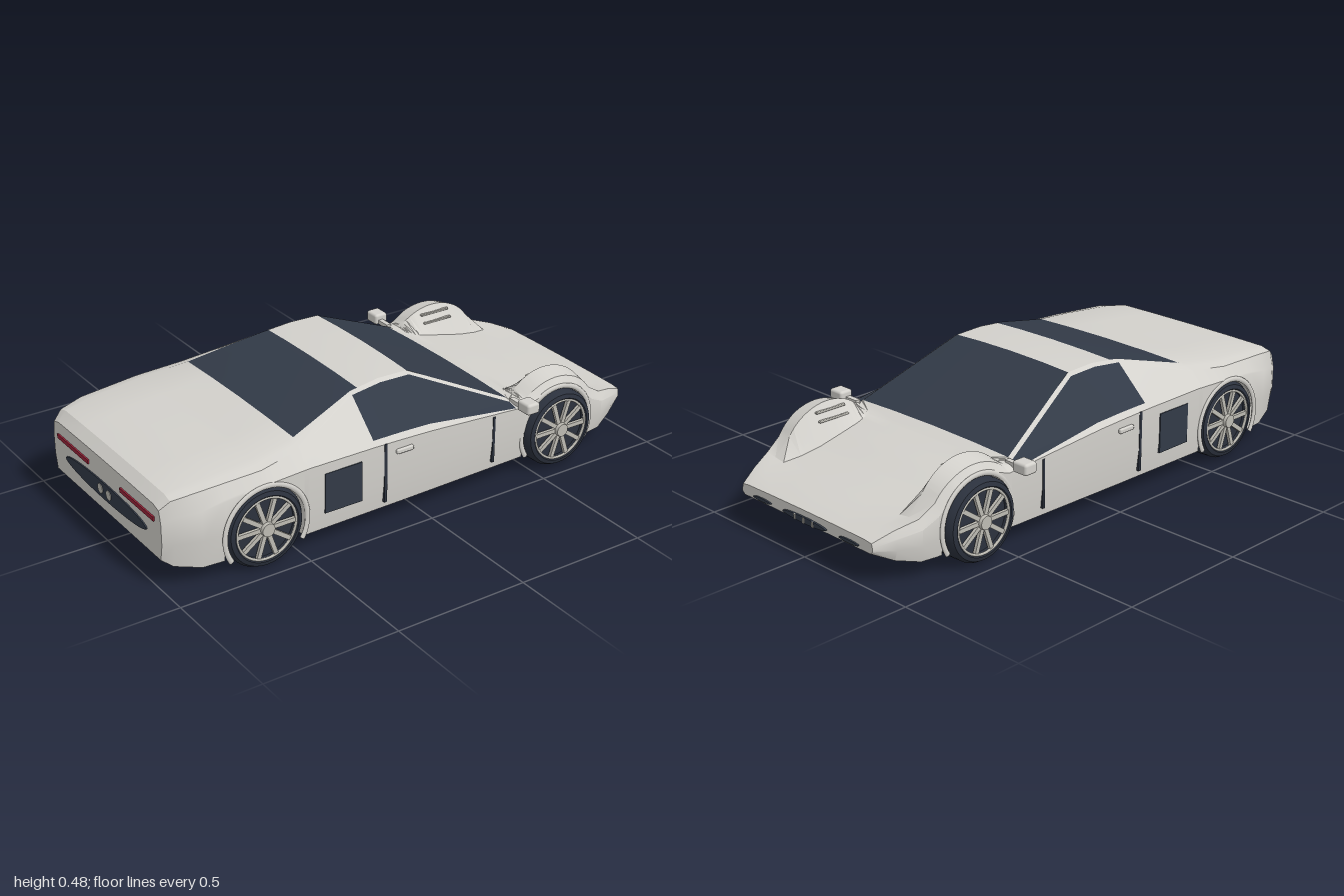
import * as THREE from 'three';
import { toCreasedNormals } from 'three/addons/utils/BufferGeometryUtils.js';
import { RoundedBoxGeometry } from 'three/addons/geometries/RoundedBoxGeometry.js';

const material = (name, color, side = THREE.FrontSide) => {
  const m = new THREE.MeshStandardMaterial({ color, side });
  m.name = name;
  return m;
};

// Body stations: x, half width, floor y, belt y, roof edge z/y, inner edge z/y, centre y
const STATIONS = [
  [-0.995, .385, .11, .25, .375, .295, .34, .305, .308],
  [-0.96, .405, .085, .27, .39, .325, .35, .336, .339],
  [-0.87, .435, .065, .28, .41, .34, .36, .352, .355],
  [-0.64, .452, .065, .312, .425, .355, .37, .373, .376],
  [-0.47, .45, .065, .32, .40, .375, .35, .393, .40],
  [-0.20, .445, .316, .30, .452, .287, .462, .468],
  [-0.08, .443, .312, .295, .465, .28, .475, .482],
  [0.04, .44, .306, .295, .462, .28, .472, .48],
  [0.42, .43, .275, .385, .285, .37, .295, .303],
  [0.47, .428, .27, .405, .29, .28, .283, .286],
  [0.53, .427, .292, .408, .30, .27, .268, .272],
  [0.61, .425, .314, .406, .33, .268, .25, .255],
  [0.70, .425, .283, .405, .30, .27, .228, .232],
  [0.78, .42, .21, .40, .235, .28, .212, .215],
  [0.84, .41, .18, .39, .212, .30, .20, .203],
  [0.92, .375, .085, .16, .36, .188, .30, .186, .188],
  [0.99, .338, .12, .14, .333, .158, .30, .162, .165],
].map(s => (s.length === 8 ? [s[0], s[1], .065, ...s.slice(2)] : s));

const AXLES = [-0.64, 0.61], AXLE_Y = .148, ARCH = .15;

function station(x) {
  let i = 0;
  while (i < STATIONS.length - 2 && x > STATIONS[i + 1][0]) i++;
  const a = STATIONS[i], b = STATIONS[i + 1];
  const t = (x - a[0]) / (b[0] - a[0]);
  return a.map((v, k) => v + (b[k] - v) * t);
}

// Half cross-section from the floor centre, around the side, to the roof centre
function section(x) {
  const [, w, floor, belt, ez, ey0, fz, fy, cy] = station(x);
  let arch = floor;
  for (const ax of AXLES) {
    const d = Math.abs(x - ax);
    if (d <= ARCH + 1e-6) arch = AXLE_Y + Math.sqrt(Math.max(0, ARCH * ARCH - d * d));
  }
  const bump = AXLE_Y + Math.sqrt(Math.max(0, .207 ** 2 - (x - AXLES[1]) ** 2));
  const fender = x > .42 && x < .85 ? bump : 0;
  const ey = Math.max(ey0, fender - .016);
  const sideY = Math.max(arch, Math.min(.17, (floor + belt) / 2));
  return [
    [0, floor], [.31, floor], [.31, arch], [w - .012, arch], [w, sideY], [w, belt],
    [w + (ez - w) * .12, belt + (ey - belt) * .12], [ez, ey],
    [(ez + fz) / 2, Math.max((ey + fy) / 2, fender)], [fz, fy],
    [fz * .55, cy - (cy - fy) * .3], [0, cy],
  ].map(([z, y]) => [x, y, z]);
}

function buildShell(group, paint, glass) {
  const xs = STATIONS.map(s => s[0]).concat([-.17]);
  for (const ax of AXLES) {
    for (let k = 0; k <= 20; k++) xs.push(ax + ARCH * Math.cos(Math.PI * k / 20));
    xs.push(ax - ARCH - 1e-4, ax + ARCH + 1e-4);
  }
  xs.sort((a, b) => a - b);
  const rows = xs.map(section);
  const body = [], windows = { windscreen: [], rearWindow: [], sideWindows: [] };
  const tri = (list, ...p) => {
    for (const q of p) list.push(...q);
    for (const q of [p[0], p[2], p[1]]) list.push(q[0], q[1], -q[2]);
  };
  for (let i = 0; i < rows.length - 1; i++) {
    const mid = (xs[i] + xs[i + 1]) / 2;
    for (let j = 0; j < 11; j++) {
      let list = body;
      if (j >= 9 && mid > .04 && mid < .42) list = windows.windscreen;
      if (j >= 9 && mid > -.47 && mid < -.17) list = windows.rearWindow;
      if (j === 6 && mid > -.2 && mid < .42) list = windows.sideWindows;
      const a = rows[i][j], b = rows[i + 1][j], c = rows[i + 1][j + 1], d = rows[i][j + 1];
      tri(list, a, b, c);
      tri(list, a, c, d);
    }
  }
  // Flat nose and tail
  const first = rows[0], last = rows[rows.length - 1];
  for (let j = 0; j < 11; j++) {
    tri(body, [first[0][0], .2, 0], first[j], first[j + 1]);
    tri(body, [last[0][0], .14, 0], last[j + 1], last[j]);
  }
  const add = (name, list, mat) => {
    const g = new THREE.BufferGeometry();
    g.setAttribute('position', new THREE.Float32BufferAttribute(list, 3));
    const mesh = new THREE.Mesh(toCreasedNormals(g, .5), mat);
    mesh.name = name;
    group.add(mesh);
  };
  add('body', body, paint);
  for (const name in windows) add(name, windows[name], glass);
}

function buildWheel(rubber, metal) {
  const wheel = new THREE.Group();
  const add = (geo, mat, name) => {
    const m = new THREE.Mesh(geo, mat);
    m.name = name;
    wheel.add(m);
    return m;
  };
  const profile = [[0, -.06], [.12, -.065], [.137, -.06], [.147, -.045], [.148, 0], [.147, .045],
    [.137, .062], [.122, .067], [.114, .06], [.112, .045], [0, .045]];
  const tyre = new THREE.LatheGeometry(profile.map(p => new THREE.Vector2(...p)), 48);
  add(toCreasedNormals(tyre.rotateX(Math.PI / 2), .7), rubber, 'tyre');
  add(new THREE.TorusGeometry(.114, .005, 8, 48).translate(0, 0, .061), metal, 'rim');
  for (let k = 0; k < 10; k++) {
    const spoke = new THREE.BoxGeometry(.016, .092, .012).translate(0, .066, .058);
    add(spoke.rotateZ((k + .5) * Math.PI / 5), metal, 'spoke');
  }
  add(new THREE.CylinderGeometry(.024, .028, .028, 20).rotateX(Math.PI / 2).translate(0, 0, .062), metal, 'hub');
  return wheel;
}

export function createModel() {
  const car = new THREE.Group();
  car.name = 'sportsCar';
  const paint = material('bodyPaint', 0xd3d1cc);
  const glass = material('darkGlass', 0x323a47);
  const rubber = material('tyreRubber', 0x2b313d);
  const metal = material('wheelMetal', 0xbdbbb3);
  const red = material('tailLightRed', 0x982338);

  const add = (name, geo, mat, x, y, z) => {
    const m = new THREE.Mesh(geo, mat);
    m.name = name;
    m.position.set(x, y, z);
    car.add(m);
    return m;
  };
  // Flat oval plate facing along x
  const oval = (halfWidth, halfHeight) =>
    new THREE.CylinderGeometry(1, 1, .008, 32).rotateZ(Math.PI / 2).scale(1, halfHeight, halfWidth);

  buildShell(car, paint, glass);

  for (const s of [1, -1]) {
    // Wheels and arch lips
    AXLES.forEach((x, i) => {
      const wheel = buildWheel(rubber, metal);
      wheel.name = i ? 'frontWheel' : 'rearWheel';
      wheel.position.set(x, AXLE_Y, s * .388);
      if (s < 0) wheel.rotation.y = Math.PI;
      car.add(wheel);
      const lip = new THREE.TorusGeometry(.159, .01, 8, 48, Math.PI + 1.08).rotateZ(-.54).scale(1, 1, .6);
      add('archLip', lip, paint, x, AXLE_Y, s * (i ? .423 : .45));
    });
    // Doors, intake and mirror
    add('doorSeamRear', new THREE.BoxGeometry(.012, .225, .01), rubber, -.16, .203, s * .441);
    add('doorSeamFront', new THREE.BoxGeometry(.01, .18, .01), rubber, .315, .185, s * .43);
    add('doorHandle', new RoundedBoxGeometry(.07, .018, .014, 2, .005), paint, -.082, .273, s * .446);
    add('sideIntake', new THREE.BoxGeometry(.15, .15, .009), glass, -.335, .205, s * .446);
    add('mirror', new RoundedBoxGeometry(.055, .042, .065, 3, .01), paint, .44, .297, s * .468);
    add('mirrorStalk', new THREE.BoxGeometry(.02, .016, .07), paint, .435, .288, s * .415);
    // Slats on the inner slope of the front fender
    for (const [y, z] of [[.3, .304], [.328, .322]]) {
      add('fenderSlat', new RoundedBoxGeometry(.13, .008, .012, 2, .003), metal, .61, y, s * z);
    }
    // Nose openings and tail lights
    add('sideNoseOpening', oval(.048, .006), glass, .992, .132, s * .225);
    add('tailLight', new THREE.BoxGeometry(.008, .016, .23), red, -.997, .252, s * .23);
    add('exhaust', new THREE.CylinderGeometry(.018, .018, .016, 20).rotateZ(Math.PI / 2), metal, -.994, .19, s * .03);
  }
  add('noseGrille', oval(.112, .011), glass, .993, .132, 0);
  for (const z of [-.046, 0, .046]) {
    add('noseGrilleBar', new THREE.BoxGeometry(.006, .02, .008), metal, .997, .132, z);
  }
  add('rearGrille', oval(.29, .032), glass, -.996, .19, 0);
  return car;
}
